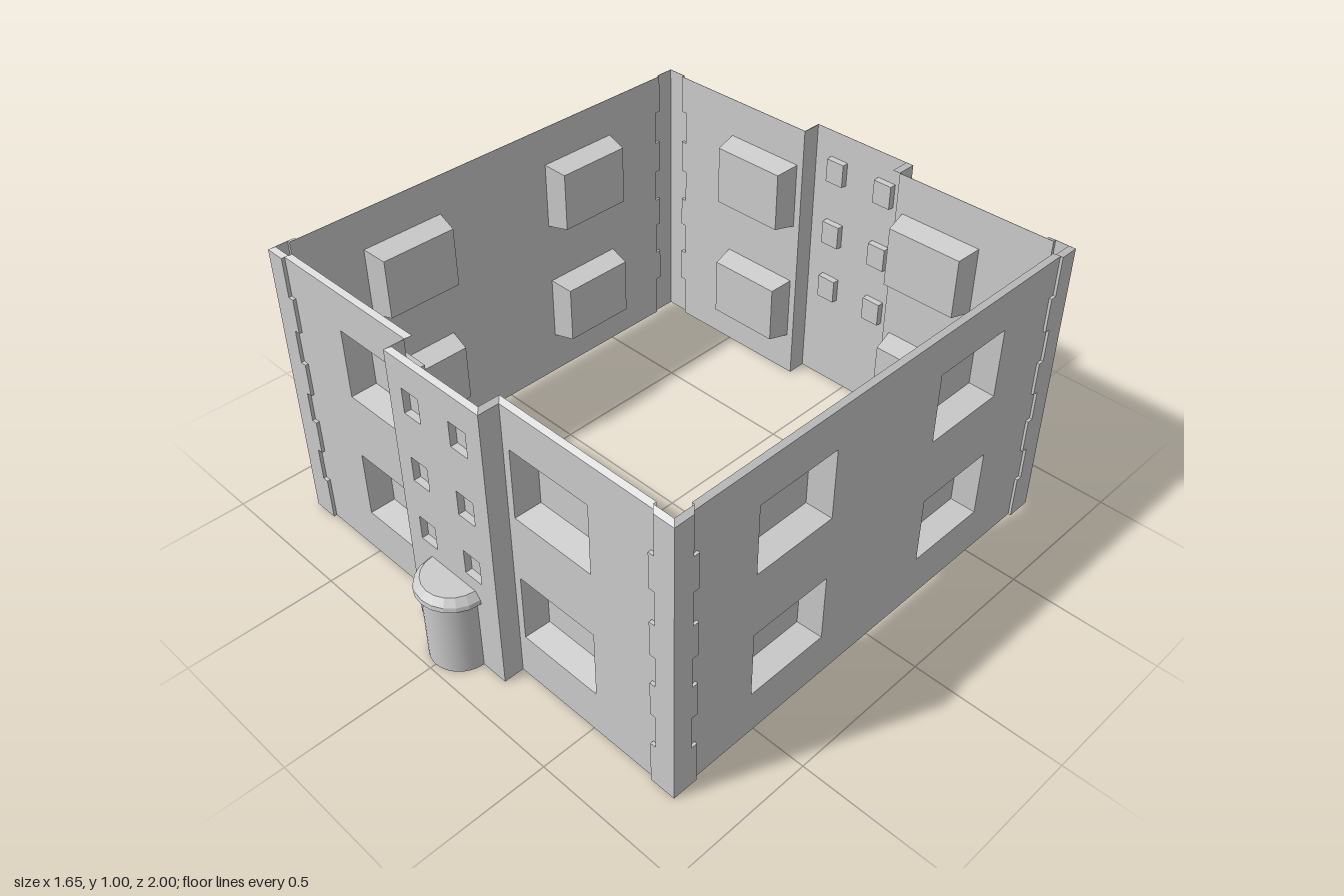
import * as THREE from 'three';

const FLAT = new THREE.MeshStandardMaterial({ color: 0xcccccc, flatShading: true, side: THREE.DoubleSide });
const SMOOTH = new THREE.MeshStandardMaterial({ color: 0xcccccc, side: THREE.DoubleSide });

const TOP = 0.99;              // wall height below the sloping rim
const BAY_X = 0.195, BAY_Z = 0.88;
const JAG_STEPS = [0.855, 0.735, 0.618, 0.5, 0.393, 0.273, 0.153];
const JAG = [0.757, 0.737];    // alternating inner edges of the corner blocks

function add(parent, name, geometry, material = FLAT) {
  const mesh = new THREE.Mesh(geometry, material);
  mesh.name = name;
  parent.add(mesh);
  return mesh;
}

// Strip of quads between two matching point lists
function strip(a, b, closed = false) {
  const pos = [];
  const n = closed ? a.length : a.length - 1;
  for (let i = 0; i < n; i++) {
    const j = (i + 1) % a.length;
    pos.push(...a[i], ...a[j], ...b[j], ...a[i], ...b[j], ...b[i]);
  }
  const g = new THREE.BufferGeometry();
  g.setAttribute('position', new THREE.Float32BufferAttribute(pos, 3));
  g.computeVertexNormals();
  return g;
}

// Toothed edge from top to bottom, s mirrors it
function jagEdge(s) {
  const pts = [[s * JAG[0], TOP]];
  JAG_STEPS.forEach((y, i) => pts.push([s * JAG[i % 2], y], [s * JAG[(i + 1) % 2], y]));
  pts.push([s * JAG[1], 0]);
  return pts;
}

const rect = (x0, x1, y0, y1) => [[x0, y0], [x1, y0], [x1, y1], [x0, y1]];
const vec = pts => pts.map(p => new THREE.Vector2(p[0], p[1]));

// Flat sheet with rectangular openings, at distance z
function sheet(parent, name, outline, holes, z) {
  const shape = new THREE.Shape(vec(outline));
  holes.forEach(h => shape.holes.push(new THREE.Path(vec(rect(...h)))));
  add(parent, name, new THREE.ShapeGeometry(shape)).position.z = z;
}

// Blind window: tapering reveal and closed back
function recess(parent, name, [x0, x1, y0, y1], z, depth, taper) {
  const group = new THREE.Group();
  group.name = name;
  const inner = [x0 + taper, x1 - taper, y0 + taper, y1 - taper];
  add(group, 'reveal', strip(
    rect(x0, x1, y0, y1).map(p => [...p, z]),
    rect(...inner).map(p => [...p, z - depth]), true));
  sheet(group, 'windowBack', rect(...inner), [], z - depth);
  parent.add(group);
}

// One wall facing +z, with corner blocks, windows and optional bay
function facade(name, wallZ, blockZ, corner, hasBay) {
  const group = new THREE.Group();
  group.name = name;
  const start = hasBay ? BAY_X : 0;
  for (const s of [1, -1]) {
    const edge = jagEdge(s);
    const windows = [[0.155, 0.39], [0.615, 0.853]].map(([y0, y1]) =>
      s > 0 ? [0.22, 0.515, y0, y1] : [-0.515, -0.22, y0, y1]);
    sheet(group, 'wall', [[s * start, 0], [s * start, TOP], ...edge], windows, wallZ);
    windows.forEach(w => recess(group, 'largeWindow', w, wallZ, 0.08, 0.014));
    sheet(group, 'cornerBlocks', [...edge, [s * corner, 0], [s * corner, TOP]], [], blockZ);
    add(group, 'cornerBlockStep', strip(edge.map(p => [...p, blockZ]), edge.map(p => [...p, wallZ])));
  }
  if (hasBay) addBay(group, wallZ);
  return group;
}

function addBay(group, wallZ) {
  // projecting centre with six small windows
  const windows = [];
  for (const y of [0.35, 0.57, 0.81]) {
    for (const x of [-0.135, 0.062]) windows.push([x, x + 0.07, y, y + 0.085]);
  }
  sheet(group, 'bayFront', rect(-BAY_X, BAY_X, 0, TOP), windows, BAY_Z);
  windows.forEach(w => recess(group, 'smallWindow', w, BAY_Z, 0.022, 0.001));
  for (const x of [-BAY_X, BAY_X]) {
    add(group, 'baySide', strip([[x, 0, wallZ], [x, TOP, wallZ]], [[x, 0, BAY_Z], [x, TOP, BAY_Z]]));
  }
  // half-round entrance with its bevelled cap
  const porch = add(group, 'entrance',
    new THREE.CylinderGeometry(0.1, 0.1, 0.265, 20, 1, true, -Math.PI / 2, Math.PI), SMOOTH);
  porch.position.set(0, 0.1325, BAY_Z);
  const profile = vec([[0.1, 0.258], [0.113, 0.258], [0.12, 0.266], [0.117, 0.28], [0.097, 0.302], [0, 0.302]]);
  add(group, 'entranceCap', new THREE.LatheGeometry(profile, 10, -Math.PI / 2, Math.PI))
    .position.z = BAY_Z;
}

export function createModel() {
  const model = new THREE.Group();
  model.name = 'building';
  const FZ = 0.812, FB = 0.823, SX = 0.816, SB = 0.825;

  for (const [name, turn] of [['frontFacade', 0], ['backFacade', Math.PI]]) {
    const f = facade(name, FZ, FB, SB, true);
    f.rotation.y = turn;
    model.add(f);
  }
  for (const [name, turn] of [['leftFacade', Math.PI / 2], ['rightFacade', -Math.PI / 2]]) {
    const f = facade(name, SX, SB, FB, false);
    f.rotation.y = turn;
    model.add(f);
  }

  // sloping rim along the whole footprint
  const quarter = [[BAY_X, BAY_Z], [BAY_X, FZ], [JAG[0], FZ], [JAG[0], FB],
    [SB, FB], [SB, JAG[0]], [SX, JAG[0]]];
  const back = [...quarter].reverse();
  const loop = [
    ...quarter,
    ...back.map(([x, z]) => [x, -z]),
    ...quarter.map(([x, z]) => [-x, -z]),
    ...back.map(([x, z]) => [-x, z]),
  ];
  const inset = 0.016;
  add(model, 'topRim', strip(
    loop.map(([x, z]) => [x, TOP, z]),
    loop.map(([x, z]) => [x - Math.sign(x) * inset, 1, z - Math.sign(z) * inset]), true));
  return model;
}
